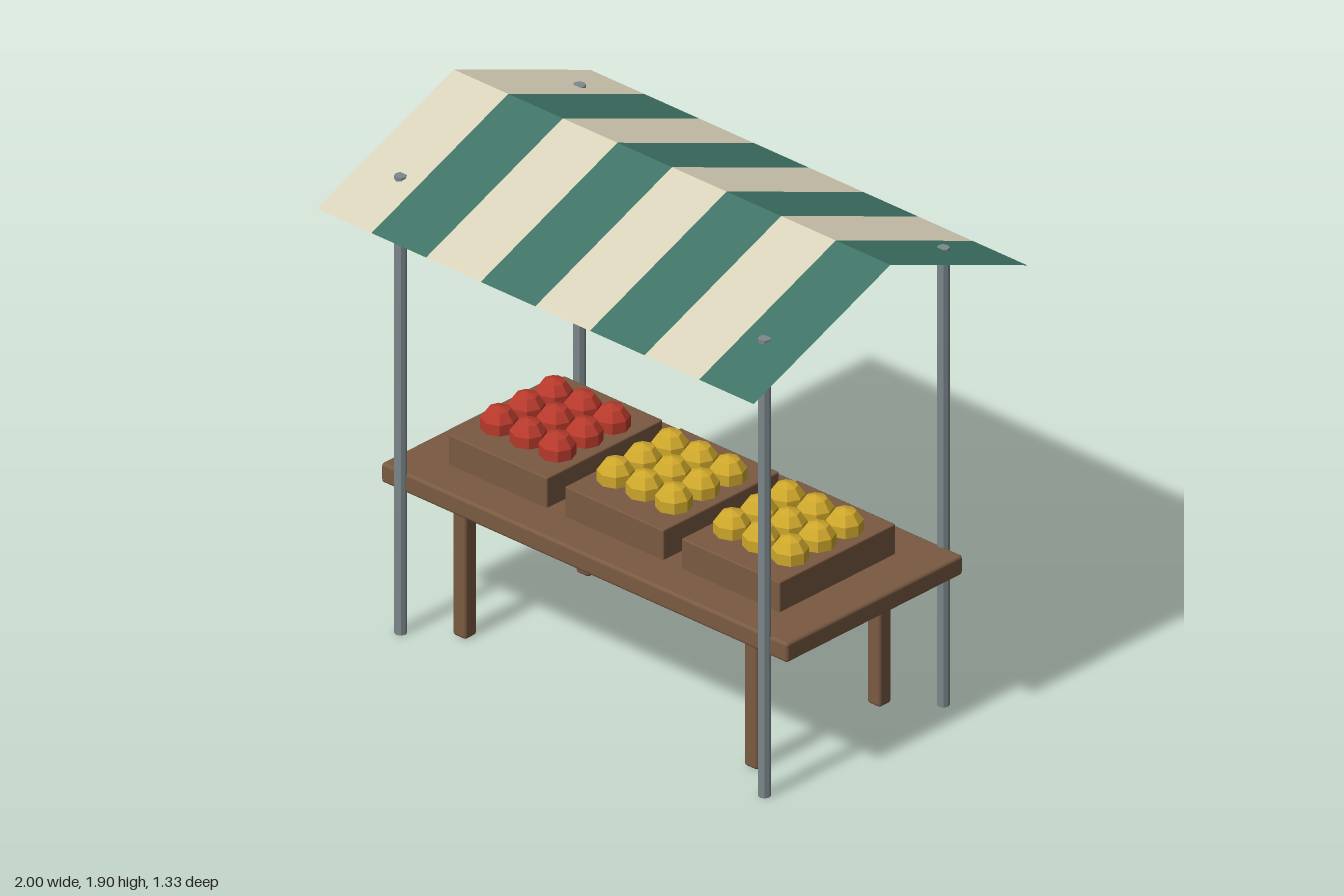
import * as THREE from 'three';
import { RoundedBoxGeometry } from 'three/addons/geometries/RoundedBoxGeometry.js';

const paint = (color, extra = {}) => {
  const m = new THREE.MeshStandardMaterial({ color });
  return Object.assign(m, extra);
};

export function createModel() {
  const stall = new THREE.Group();
  stall.name = 'marketStall';

  const wood = paint(0x7a5a42);
  const metal = paint(0x7d898d, { flatShading: true });
  const red = paint(0xb83a2c, { flatShading: true });
  const yellow = paint(0xcfa82c, { flatShading: true });
  const cream = paint(0xdad3ba, { side: THREE.DoubleSide });
  const green = paint(0x3f7466, { side: THREE.DoubleSide });

  const add = (name, geometry, material, x, y, z, parent = stall) => {
    const mesh = new THREE.Mesh(geometry, material);
    mesh.name = name;
    mesh.position.set(x, y, z);
    parent.add(mesh);
    return mesh;
  };

  // Table top
  add('tableTop', new RoundedBoxGeometry(1.86, 0.074, 0.86, 2, 0.012), wood, 0, 0.57, 0);

  // Table legs and canopy poles, one of each per corner
  const legGeo = new RoundedBoxGeometry(0.06, 0.54, 0.06, 2, 0.012);
  const poleGeo = new THREE.CylinderGeometry(0.022, 0.022, 1.737, 8);
  for (const sx of [-1, 1]) {
    for (const sz of [-1, 1]) {
      const corner = `${sz > 0 ? 'front' : 'back'}${sx > 0 ? 'Left' : 'Right'}`;
      add(`${corner}Leg`, legGeo, wood, sx * 0.667, 0.27, sz * 0.3);
      add(`${corner}Pole`, poleGeo, metal, sx * 0.833, 0.8685, sz * 0.436);
    }
  }

  // Crates, each with a 3 x 3 layer of fruit
  const crateGeo = new RoundedBoxGeometry(0.452, 0.118, 0.566, 1, 0.006);
  const fruitGeo = new THREE.SphereGeometry(0.0667, 8, 5);
  [[-0.533, red], [0, yellow], [0.533, yellow]].forEach(([x, fruitColor], i) => {
    const crate = new THREE.Group();
    crate.name = `fruitCrate${i + 1}`;
    crate.position.x = x;
    stall.add(crate);
    add('crate', crateGeo, wood, 0, 0.661, 0, crate);
    for (let col = -1; col <= 1; col++) {
      for (let row = -1; row <= 1; row++) {
        add('fruit', fruitGeo, fruitColor, col * 0.1333, 0.74, row * 0.1333, crate);
      }
    }
  });

  // Striped cloth canopy: two thin slopes meeting at the ridge
  const ridgeY = 1.904, eaveY = 1.639, eaveZ = 0.667, stripes = 8;
  const width = 2 / stripes;
  const length = Math.hypot(eaveZ, ridgeY - eaveY);
  const pitch = Math.atan2(ridgeY - eaveY, eaveZ);
  const stripGeo = new THREE.PlaneGeometry(width, length).rotateX(-Math.PI / 2);
  for (let i = 0; i < stripes; i++) {
    for (const side of [1, -1]) {
      const strip = add(side > 0 ? 'frontCanopyStripe' : 'backCanopyStripe', stripGeo,
        i % 2 ? green : cream, -1 + width * (i + 0.5), (ridgeY + eaveY) / 2, side * eaveZ / 2);
      strip.rotation.x = side * pitch;
    }
  }

  return stall;
}
